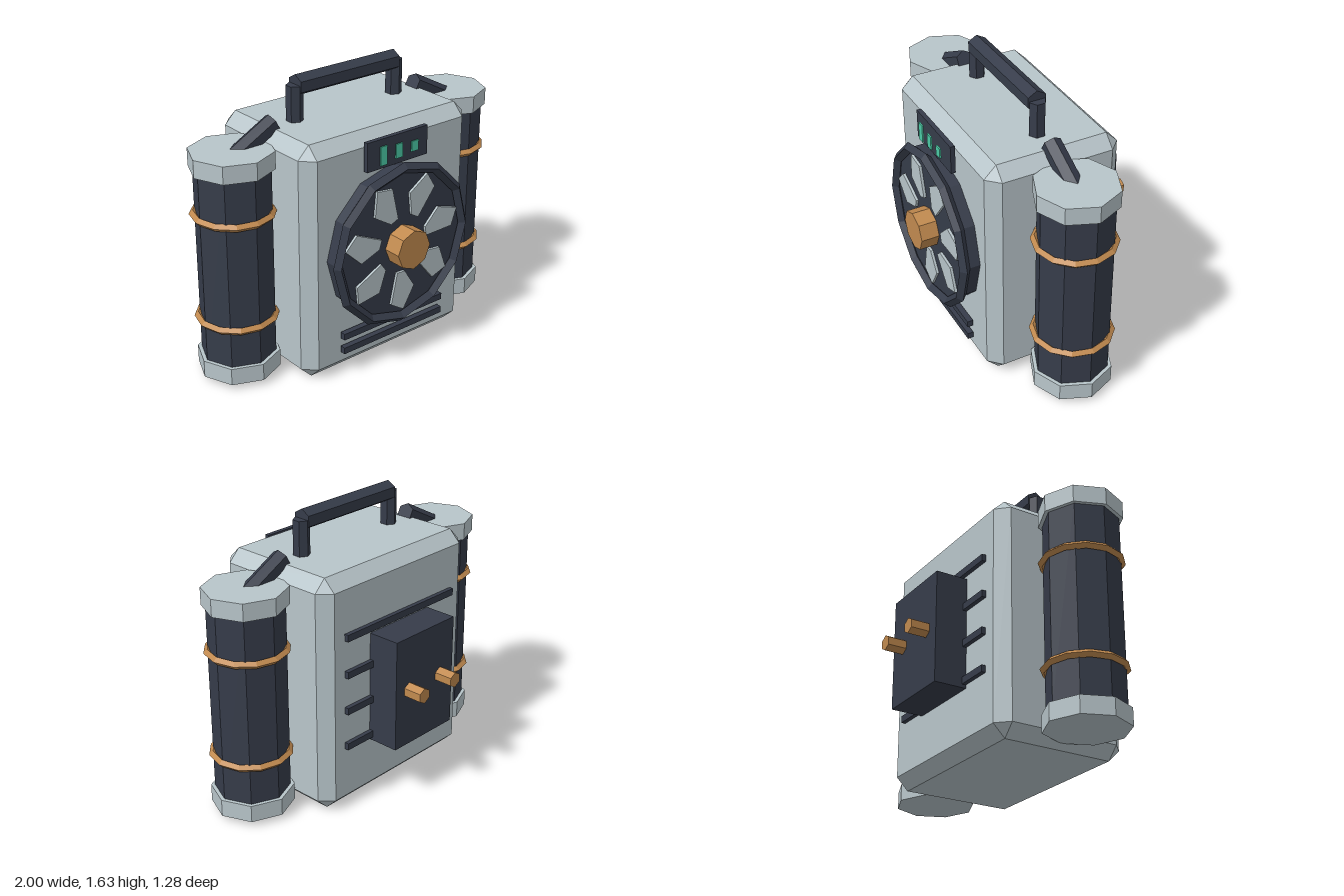
import * as THREE from 'three';
import { ConvexGeometry } from 'three/addons/geometries/ConvexGeometry.js';

export function createModel() {
  const model = new THREE.Group();
  model.name = 'fanBackpack';
  const mat = (name, color) => new THREE.MeshStandardMaterial({ name, color, flatShading: true });
  const shell = mat('paleShell', 0xb8c5ca);
  const dark = mat('darkMetal', 0x363c4a);
  const copper = mat('copper', 0xc18a4f);
  const green = mat('greenLight', 0x4ccba6);
  const midZ = 0.055; // depth centre of body, tanks and handle

  const add = (name, geo, material, x = 0, y = 0, z = 0) => {
    const mesh = new THREE.Mesh(geo, material);
    mesh.name = name;
    mesh.position.set(x, y, z);
    model.add(mesh);
    return mesh;
  };
  // box given by its min and max on each axis
  const box = (name, material, x0, x1, y0, y1, z0, z1) =>
    add(name, new THREE.BoxGeometry(x1 - x0, y1 - y0, z1 - z0), material,
      (x0 + x1) / 2, (y0 + y1) / 2, (z0 + z1) / 2);
  const prism = (r, h, sides) => new THREE.CylinderGeometry(r, r, h, sides);

  // body: box with every edge chamfered
  const half = [0.58, 0.69, 0.395], c = 0.07, points = [];
  for (const sx of [-1, 1]) for (const sy of [-1, 1]) for (const sz of [-1, 1]) {
    for (let axis = 0; axis < 3; axis++) {
      const p = half.map((h, i) => (i === axis ? h : h - c));
      points.push(new THREE.Vector3(sx * p[0], sy * p[1], sz * p[2]));
    }
  }
  add('body', new ConvexGeometry(points), shell, 0, 0.69, midZ);

  // side tanks with caps, copper bands and feed pipes
  for (const [side, s] of [['left', 1], ['right', -1]]) {
    const x = s * 0.765;
    add(side + 'Tank', prism(0.21, 1.12, 8), dark, x, 0.675, midZ);
    for (const [end, y] of [['Bottom', 0.08], ['Top', 1.27]]) {
      add(side + 'Tank' + end + 'Cap', prism(0.232, 0.1, 8), shell, x, y, midZ);
    }
    for (const [end, y] of [['Lower', 0.355], ['Upper', 0.968]]) {
      add(side + 'Tank' + end + 'Band',
        new THREE.TorusGeometry(0.213, 0.022, 4, 12).rotateX(Math.PI / 2), copper, x, y, midZ);
    }
    const from = new THREE.Vector3(s * 0.76, 1.265, midZ);
    const to = new THREE.Vector3(s * 0.497, 1.404, midZ);
    const pipe = add(side + 'Pipe', prism(0.055, from.distanceTo(to), 6).rotateY(Math.PI / 6), dark);
    pipe.position.copy(from).lerp(to, 0.5);
    pipe.rotation.z = s * Math.atan2(0.263, 0.139);
    // handle post
    add(side + 'HandlePost', prism(0.0475, 0.22, 6), dark, s * 0.35, 1.47, midZ);
  }
  add('handleBar', prism(0.06, 0.69, 6).rotateY(Math.PI / 6).rotateZ(Math.PI / 2),
    dark, 0, 1.575, midZ);

  // fan housing, rim, hub and blades
  const fanY = 0.72;
  add('fanHousing', prism(0.45, 0.1, 12).rotateX(Math.PI / 2), dark, 0, fanY, 0.485);
  add('fanRim', new THREE.TorusGeometry(0.452, 0.031, 4, 12), dark, 0, fanY, 0.543);
  add('fanHub', prism(0.115, 0.12, 8).rotateX(Math.PI / 2), copper, 0, fanY, 0.58);
  const blade = new THREE.Shape([
    [0, 0.41], [-0.08, 0.285], [-0.012, 0.17], [0.042, 0.165], [0.088, 0.35],
  ].map(([x, y]) => new THREE.Vector2(x, y)));
  const bladeGeo = new THREE.ExtrudeGeometry(blade, { depth: 0.02, bevelEnabled: false });
  for (let i = 0; i < 7; i++) {
    add('fanBlade', bladeGeo, shell, 0, fanY, 0.53).rotation.z = Math.PI * (1.01 + (i * 2) / 7);
  }

  // display panel with three lights
  box('displayPanel', dark, -0.213, 0.21, 1.18, 1.347, 0.465, 0.492);
  box('displayLight', green, -0.14, -0.095, 1.208, 1.315, 0.507, 0.516);
  box('displayLight', green, -0.033, 0.013, 1.222, 1.303, 0.507, 0.516);
  box('displayLight', green, 0.077, 0.125, 1.233, 1.292, 0.507, 0.516);

  // front vent slats
  for (const y of [0.155, 0.243]) {
    box('frontSlat', dark, -0.364, 0.362, y - 0.019, y + 0.019, 0.46, 0.494);
  }

  // back slats, power box and terminals
  for (let i = 0; i < 4; i++) {
    const y = 0.39 + i * 0.217;
    box('backSlat', dark, -0.436, 0.434, y - 0.02, y + 0.02, -0.365, -0.335);
  }
  box('backBox', dark, -0.24, 0.235, 0.35, 1.0, -0.53, -0.335);
  for (const x of [-0.133, 0.128]) {
    add('terminal', prism(0.045, 0.14, 6).rotateX(Math.PI / 2), copper, x, 0.685, -0.57);
  }
  return model;
}
